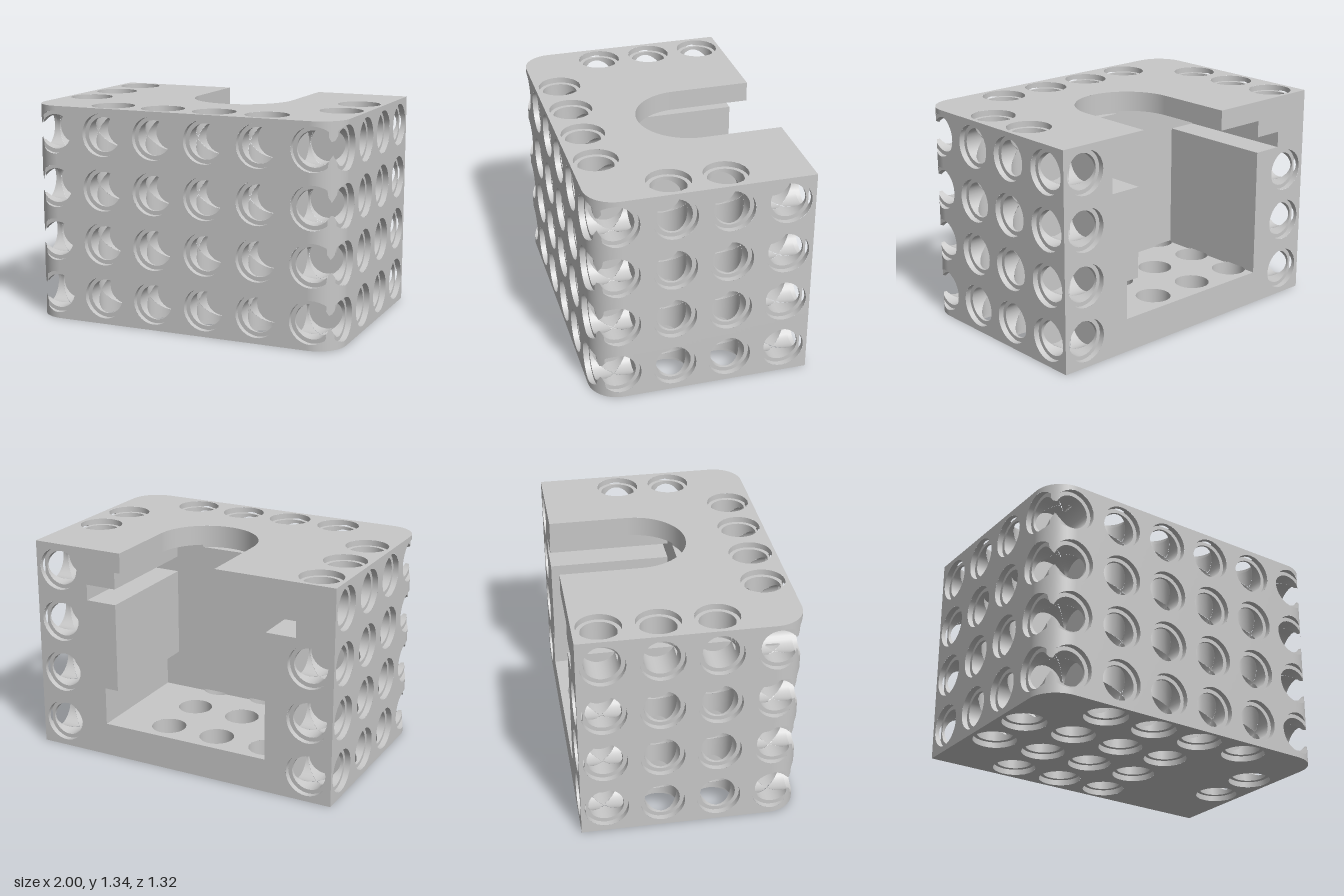
import * as THREE from 'three';

// Block: x -1..1, y 0..H, z -D..D, with rounded front vertical edges
const H = 1.34, D = 0.66, CORNER = 0.18;
// Hole: bore radius, counterbore radius and depth, usual bore depth
const R = 0.107, RB = 0.132, LB = 0.035, BORE = 0.275, SHORT = 0.21;
const STEP = 0.03, SEGS = 28, TAU = Math.PI * 2, THROUGH = 9;
const FRONT = 0.10; // front wall of the cavity
const ROWS = [0.168, 0.505, 0.842, 1.178];
const COLS = [-0.842, -0.505, -0.168, 0.168, 0.505, 0.842];
const DEEP = [-0.505, -0.168, 0.168, 0.505];

// Cavity pieces: [x0, x1, y0, y1], all open to the back
const BOXES = [
  [-0.57, 0.44, 0.21, 1.215],
  [0.43, 0.53, 0.21, 0.45],
  [-0.76, -0.56, 1.01, 1.11],
  [0.43, 0.64, 1.01, 1.11],
];
// U-shaped opening in the top
const U = { x: 0.08, z: -0.17, r: 0.32, y: 1.2 };
// Grid lines that follow the cavity edges
const MARKS = [[-0.76, -0.57, -0.24, 0.4, 0.44, 0.53, 0.64], [0.21, 0.45, 1.01, 1.11, 1.2, 1.215], [FRONT]];

// Each hole: axis, facing, coordinate of its face, centre on the next two axes, bore depth
const holes = [];
function addHole(axis, dir, x, y, z, depth = BORE) {
  const p = [x, y, z];
  const face = [1, dir > 0 ? H : 0, D][axis] * (axis === 1 ? 1 : dir);
  holes.push({ axis, dir, face, b: p[(axis + 1) % 3], c: p[(axis + 2) % 3], depth });
}
for (const y of ROWS) {
  for (const x of COLS) addHole(2, 1, x, y, 0);
  for (const z of DEEP) {
    addHole(0, 1, 0, y, z);
    addHole(0, -1, 0, y, z, y > 1 ? SHORT : BORE);
  }
  addHole(2, -1, 0.842, y, 0);
  if (y < 1) addHole(2, -1, -0.842, y, 0);
}
// Vertical holes right through the front row and one side
for (const [x, z] of [...[-0.505, -0.168, 0.168, 0.505].map(x => [x, 0.505]), [0.842, -0.168], [0.842, 0.168]]) {
  addHole(1, 1, x, 0, z, THROUGH);
  addHole(1, -1, x, 0, z, LB);
}
for (const z of [-0.505, -0.168, 0.168]) {
  addHole(1, 1, -0.842, 0, z, SHORT);
  for (const x of [-0.505, -0.168, 0.168]) addHole(1, -1, x, 0, z, 0.22);
}
for (const z of [-0.168, 0.168]) addHole(1, -1, -0.842, 0, z, 0.95);

const len = (a, b) => Math.sqrt(a * a + b * b);

// Positive where material is missing: outside the block or inside any cut
function empty(p, skip) {
  const [x, y, z] = p;
  const qx = Math.abs(x) - 1 + CORNER, qz = z - D + CORNER;
  let f = qx > 0 && qz > 0 ? len(qx, qz) - CORNER : Math.max(Math.abs(x) - 1, Math.abs(z) - D);
  f = Math.max(f, y - H, -y);
  for (const b of BOXES) f = Math.max(f, Math.min(x - b[0], b[1] - x, y - b[2], b[3] - y, FRONT - z));
  if (skip !== U) f = Math.max(f, Math.min(y - U.y, U.r - (z < U.z ? Math.abs(x - U.x) : len(x - U.x, z - U.z))));
  for (const h of holes) {
    const d = h.dir * (h.face - p[h.axis]);
    if (h === skip || d > h.depth) continue;
    const r = len(p[(h.axis + 1) % 3] - h.b, p[(h.axis + 2) % 3] - h.c);
    if (r < RB) f = Math.max(f, Math.min(R - r, h.depth - d), Math.min(RB - r, LB - d));
  }
  return f > 1e-6;
}

const mix = (a, b, t) => a.map((v, k) => v + (b[k] - v) * t);

// Point on the edge from solid a to empty b where the material ends
function border(a, b, skip) {
  let lo = 0, hi = 1;
  for (let i = 0; i < 14; i++) {
    const t = (lo + hi) / 2;
    if (empty(mix(a, b, t), skip)) hi = t; else lo = t;
  }
  return mix(a, b, lo);
}

function range(a, b, step = STEP, marks = []) {
  const stops = [a, ...marks.filter(m => m > a + 1e-4 && m < b - 1e-4), b], out = [a];
  for (let i = 1; i < stops.length; i++) {
    const n = Math.max(2, Math.round((stops[i] - stops[i - 1]) / step));
    for (let k = 1; k <= n; k++) out.push(stops[i - 1] + (stops[i] - stops[i - 1]) * k / n);
  }
  return out;
}

// Collects surface patches, trimming away whatever lies in empty space
class Carver {
  pos = []; nor = [];
  triangle(pts, skip) {
    const gone = pts.map(p => empty(p, skip));
    let poly = [];
    if (!gone.includes(true)) {
      const mid = [0, 1, 2].map(k => (pts[0][k] + pts[1][k] + pts[2][k]) / 3);
      if (empty(mid, skip)) return;
      poly = pts;
    } else {
      for (let i = 0; i < 3; i++) {
        const j = (i + 1) % 3;
        if (!gone[i]) poly.push(pts[i]);
        if (gone[i] !== gone[j]) poly.push(gone[j] ? border(pts[i], pts[j], skip) : border(pts[j], pts[i], skip));
      }
    }
    for (let i = 2; i < poly.length; i++) this.emit(poly[0], poly[i - 1], poly[i]);
  }
  emit(a, b, c) {
    const [A, B, C] = [a, b, c].map(p => new THREE.Vector3(...p));
    const n = B.sub(A).cross(C.sub(A));
    if (n.length() < 1e-8) return;
    const order = n.dot(new THREE.Vector3(a[3], a[4], a[5])) > 0 ? [a, b, c] : [a, c, b];
    for (const p of order) {
      this.pos.push(p[0], p[1], p[2]);
      this.nor.push(p[3], p[4], p[5]);
    }
  }
  // fn(u, v) gives position and normal as six numbers
  patch(us, vs, fn, skip) {
    for (let i = 1; i < us.length; i++) for (let j = 1; j < vs.length; j++) {
      const a = fn(us[i - 1], vs[j - 1]), b = fn(us[i], vs[j - 1]);
      const c = fn(us[i], vs[j]), d = fn(us[i - 1], vs[j]);
      this.triangle([a, b, c], skip);
      this.triangle([a, c, d], skip);
    }
  }
  // Flat face across an axis; the ranges are for the next two axes
  plane(axis, value, dir, rb, rc) {
    const b = (axis + 1) % 3, c = (axis + 2) % 3;
    this.patch(range(...rb, STEP, MARKS[b]), range(...rc, STEP, MARKS[c]), (u, v) => {
      const p = [0, 0, 0, 0, 0, 0];
      p[axis] = value; p[b] = u; p[c] = v; p[axis + 3] = dir;
      return p;
    });
  }
  mesh(name, material) {
    const geo = new THREE.BufferGeometry();
    geo.setAttribute('position', new THREE.Float32BufferAttribute(this.pos, 3));
    geo.setAttribute('normal', new THREE.Float32BufferAttribute(this.nor, 3));
    const mesh = new THREE.Mesh(geo, material);
    mesh.name = name;
    return mesh;
  }
}

export function createModel() {
  const grey = new THREE.MeshStandardMaterial({ color: 0xc8c8c8 });
  grey.name = 'grey';
  const group = new THREE.Group();
  group.name = 'perforatedHousing';

  // Outer faces and the two rounded edges
  const shell = new Carver();
  const zs = [-D, D - CORNER], xs = [-1, 1], ys = [0, H];
  shell.plane(2, D, 1, [-1 + CORNER, 1 - CORNER], ys);
  shell.plane(2, -D, -1, xs, ys);
  shell.plane(1, 0, -1, [-D, D], xs);
  shell.plane(1, H, 1, [-D, D], xs);
  for (const s of [-1, 1]) {
    shell.plane(0, s, s, ys, zs);
    shell.patch(range(0, Math.PI / 2, 0.12), range(0, H), (t, y) => {
      const nx = s * Math.sin(t), nz = Math.cos(t);
      return [s * (1 - CORNER) + CORNER * nx, y, D - CORNER + CORNER * nz, nx, 0, nz];
    });
  }
  group.add(shell.mesh('outerShell', grey));

  // Cavity with its side step and rails
  const cavity = new Carver();
  for (const [x0, x1, y0, y1] of BOXES) {
    const z = [-D, FRONT];
    cavity.plane(0, x0, 1, [y0, y1], z);
    cavity.plane(0, x1, -1, [y0, y1], z);
    cavity.plane(1, y0, 1, z, [x0, x1]);
    cavity.plane(1, y1, -1, z, [x0, x1]);
    cavity.plane(2, FRONT, -1, [x0, x1], [y0, y1]);
  }
  group.add(cavity.mesh('cavity', grey));

  // U-shaped top opening: straight sides, round end and small ledge
  const opening = new Carver();
  const height = range(U.y, H, STEP, MARKS[1]);
  for (const s of [-1, 1])
    opening.patch(range(-D, U.z), height, (z, y) => [U.x + s * U.r, y, z, -s, 0, 0], U);
  opening.patch(range(0, Math.PI, 0.09), height, (t, y) => {
    const c = Math.cos(t), s = Math.sin(t);
    return [U.x + U.r * c, y, U.z + U.r * s, -c, 0, -s];
  }, U);
  const half = Math.sqrt(U.r ** 2 - (FRONT - U.z) ** 2);
  opening.patch(range(-half, half, 0.02), [0, 1], (x, v) => {
    const end = U.z + Math.sqrt(Math.max(0, U.r ** 2 - x * x));
    return [U.x + x, U.y, FRONT + (end - FRONT) * v, 0, 1, 0];
  }, U);
  group.add(opening.mesh('topOpening', grey));

  // Counterbored holes: rim wall, shoulder, bore and blind end
  const bores = new Carver();
  const around = range(0, TAU, TAU / SEGS);
  for (const h of holes) {
    const at = (t, r, d, flat) => {
      const p = [0, 0, 0, 0, 0, 0], b = (h.axis + 1) % 3, c = (h.axis + 2) % 3;
      p[h.axis] = h.face - h.dir * d;
      p[b] = h.b + r * Math.cos(t);
      p[c] = h.c + r * Math.sin(t);
      if (flat) p[h.axis + 3] = h.dir;
      else { p[b + 3] = -Math.cos(t); p[c + 3] = -Math.sin(t); }
      return p;
    };
    bores.patch(around, [0, LB], (t, d) => at(t, RB, d), h);
    bores.patch(around, [R, RB], (t, r) => at(t, r, LB, true), h);
    if (h.depth === LB) continue;
    bores.patch(around, range(LB, Math.min(h.depth, H)), (t, d) => at(t, R, d), h);
    if (h.depth < H) bores.patch(around, range(0, R, 0.036), (t, r) => at(t, r, h.depth, true), h);
  }
  group.add(bores.mesh('mountingHoles', grey));
  return group;
}
